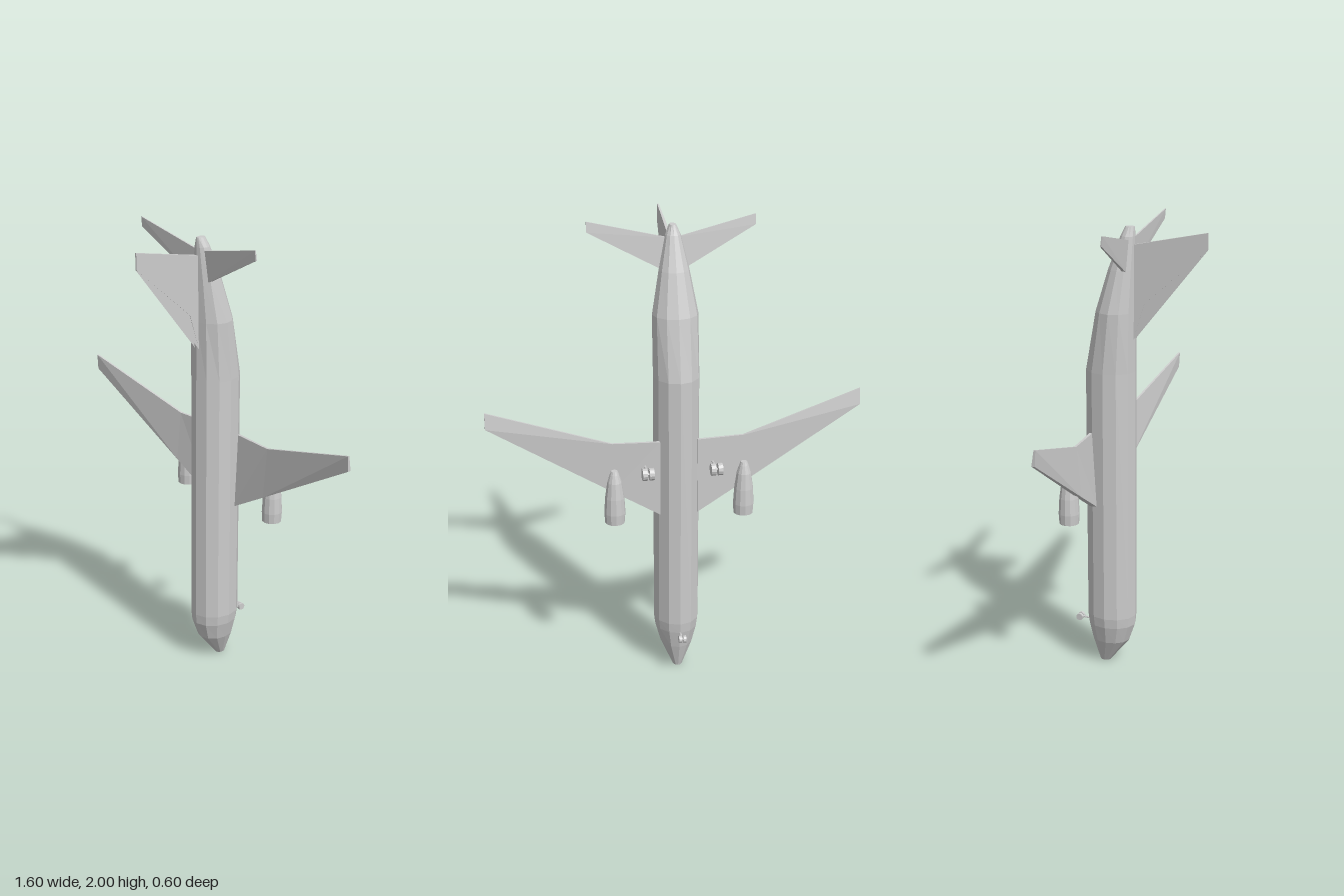
import * as THREE from 'three';

const material = new THREE.MeshStandardMaterial({ color: 0xcccccc, flatShading: true });
const V = (x, y, z) => new THREE.Vector3(x, y, z);

// Closed solid through a list of rings with equal point counts, faces turned outward
function loft(rings) {
  const n = rings[0].length, tris = [];
  for (let r = 0; r < rings.length - 1; r++) {
    for (let i = 0; i < n; i++) {
      const j = (i + 1) % n;
      const a = rings[r][i], b = rings[r][j], c = rings[r + 1][j], d = rings[r + 1][i];
      tris.push([a, b, c], [a, c, d]);
    }
  }
  const first = rings[0], last = rings[rings.length - 1];
  for (let i = 1; i < n - 1; i++) {
    tris.push([first[0], first[i + 1], first[i]], [last[0], last[i], last[i + 1]]);
  }
  // a negative enclosed volume means the faces point inward
  const volume = tris.reduce((s, [a, b, c]) => s + a.dot(b.clone().cross(c)), 0);
  const pts = tris.flatMap(([a, b, c]) => (volume < 0 ? [a, c, b] : [a, b, c]));
  const g = new THREE.BufferGeometry().setFromPoints(pts);
  g.computeVertexNormals();
  return g;
}

function add(parent, name, geometry, mat = material) {
  const mesh = new THREE.Mesh(geometry, mat);
  mesh.name = name;
  parent.add(mesh);
  return mesh;
}

// Oval cross-section between two z values at height y
function oval(y, halfWidth, top, belly, sides = 12) {
  const zc = (top + belly) / 2, rz = (top - belly) / 2;
  return Array.from({ length: sides }, (_, i) => {
    const a = (i / sides) * Math.PI * 2;
    return V(halfWidth * Math.cos(a), y, zc + rz * Math.sin(a));
  });
}

// Four-cornered surface section: [x, leading y, trailing y, leading z range, trailing z range]
const panel = (side, stations) => loft(stations.map(([x, le, te, lz, tz]) => [
  V(side * x, le, lz[0]), V(side * x, te, tz[0]), V(side * x, te, tz[1]), V(side * x, le, lz[1]),
]));

// Pair of wheels with axle and strut, pointing toward -z
function landingGear(name, x, y, wheelZ, radius, width, spacing, strutTop) {
  const gear = new THREE.Group();
  gear.name = name;
  for (const s of [-1, 1]) {
    const wheel = add(gear, 'wheel', new THREE.CylinderGeometry(radius, radius, width, 12));
    wheel.rotation.z = Math.PI / 2;
    wheel.position.set(x + s * spacing, y, wheelZ);
  }
  const axle = add(gear, 'axle', new THREE.CylinderGeometry(0.005, 0.005, spacing * 2, 6));
  axle.rotation.z = Math.PI / 2;
  axle.position.set(x, y, wheelZ);
  const length = strutTop - wheelZ;
  const strut = add(gear, 'strut', new THREE.CylinderGeometry(0.005, 0.005, length, 6));
  strut.rotation.x = Math.PI / 2;
  strut.position.set(x, y, wheelZ + length / 2);
  return gear;
}

export function createModel() {
  const plane = new THREE.Group();
  plane.name = 'airliner';

  // Fuselage, nose at the bottom, belly toward -z
  add(plane, 'fuselage', loft([
    oval(0, 0.02, -0.142, -0.188),
    oval(0.11, 0.07, -0.052, -0.22),
    oval(0.19, 0.092, -0.024, -0.237),
    oval(0.235, 0.098, -0.02, -0.242),
    oval(1.36, 0.098, -0.02, -0.242),
    oval(1.62, 0.097, -0.02, -0.192),
    oval(1.8, 0.064, -0.02, -0.137),
    oval(1.94, 0.032, -0.02, -0.084),
    oval(1.98, 0.014, -0.022, -0.064),
  ]));

  // Fin: a thick root tapering to a thin tip
  const fin = [[1.5, -0.025, 0.012], [1.66, 0.025, 0.012], [1.905, 0.3, 0.004],
    [1.975, 0.3, 0.003], [1.905, -0.025, 0.008]];
  add(plane, 'fin', loft([-1, 1].map((s) => fin.map(([y, z, t]) => V(s * t, y, z)))));

  // Hollow engine casing with a dark-facing intake bowl
  const engineProfile = [[0, 0.8], [0.032, 0.79], [0.035, 0.745], [0.042, 0.745], [0.045, 0.79],
    [0.041, 0.86], [0.031, 0.93], [0.02, 0.965], [0.014, 0.98], [0, 0.98]]
    .map(([r, y]) => new THREE.Vector2(r, y));

  for (const side of [1, -1]) {
    const label = side > 0 ? 'left' : 'right';

    add(plane, label + 'Wing', panel(side, [
      [0.08, 0.755, 1.09, [-0.166, -0.2], [-0.187, -0.2]],
      [0.28, 0.87, 1.09, [-0.153, -0.182], [-0.174, -0.184]],
      [0.8, 1.172, 1.24, [-0.118, -0.133], [-0.114, -0.122]],
    ]));

    add(plane, label + 'Tailplane', panel(side, [
      [0.02, 1.78, 1.925, [-0.045, -0.061], [-0.038, -0.046]],
      [0.35, 1.957, 2.0, [-0.022, -0.029], [-0.018, -0.023]],
    ]));

    const engine = add(plane, label + 'Engine', new THREE.LatheGeometry(engineProfile, 12));
    engine.position.set(side * 0.277, 0, -0.212);

    plane.add(landingGear(label + 'MainGear', side * 0.145, 0.983, -0.277, 0.026, 0.02, 0.0145, -0.18));
  }

  plane.add(landingGear('noseGear', 0, 0.188, -0.287, 0.016, 0.013, 0.0095, -0.22));

  return plane;
}
